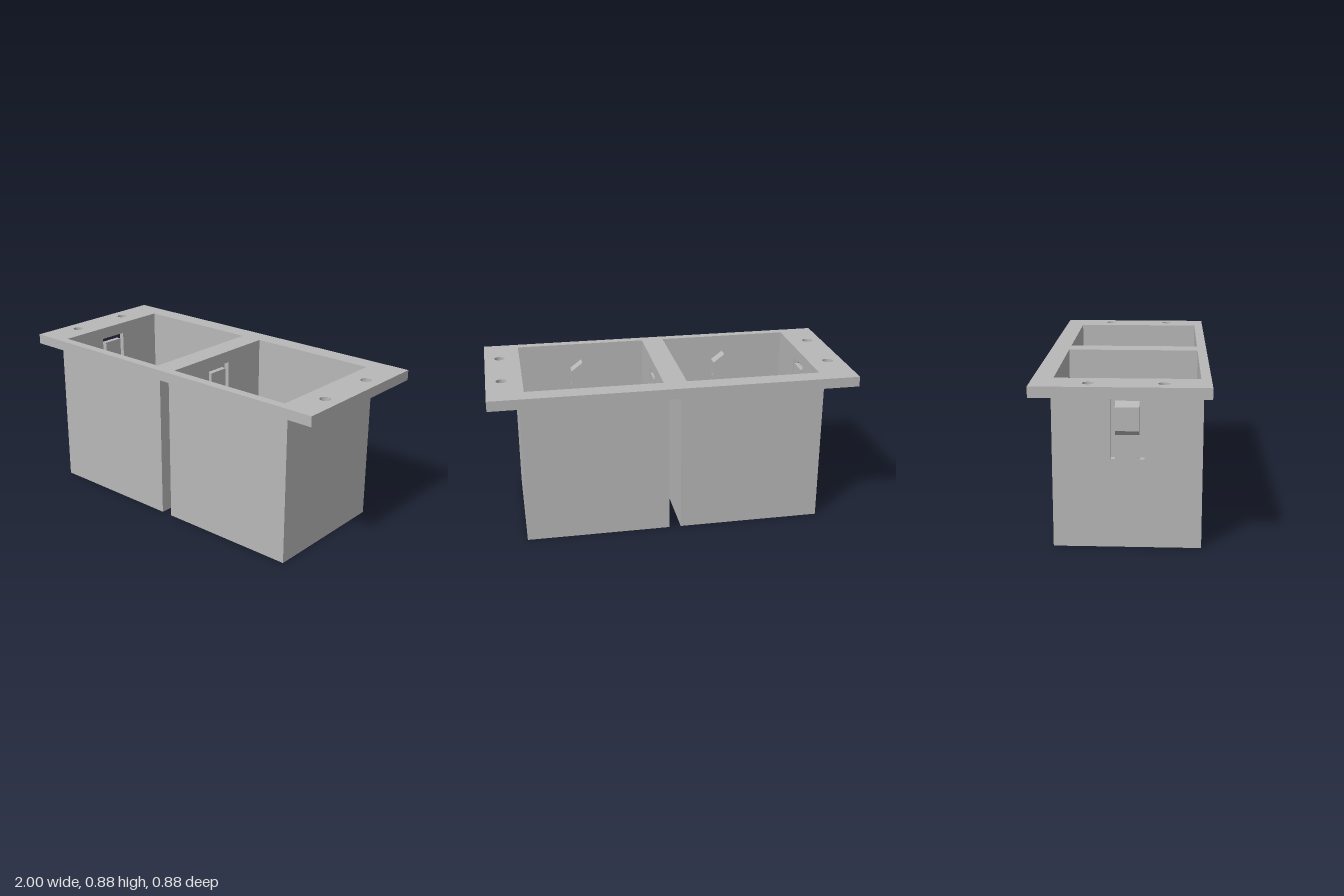
import * as THREE from 'three';
import { ConvexGeometry } from 'three/addons/geometries/ConvexGeometry.js';

const grey = new THREE.MeshStandardMaterial({ color: 0xb8b8b8 });
grey.name = 'light grey';

const TOP = 0.876, UNDER = 0.82;          // flange heights
const OUT = { back: -0.35, front: 0.405 }; // pocket outer z
const IN = { back: -0.337, front: 0.39 };  // pocket inner z
const HALF = 0.4, INNER = 0.37;            // pocket half widths
const MID = 0.028;                         // pocket centre z

const poly = (pts) => new THREE.Shape(pts.map(([x, y]) => new THREE.Vector2(x, y)));
const rect = (x0, y0, x1, y1) => poly([[x0, y0], [x1, y0], [x1, y1], [x0, y1]]);
const circle = (x, y, r) => {
  const p = new THREE.Path();
  p.absarc(x, y, r, 0, Math.PI * 2, true);
  return p;
};
const extrude = (shape, depth) =>
  new THREE.ExtrudeGeometry(shape, { depth, bevelEnabled: false, curveSegments: 16 });

// Plan shape drawn in (x, z), standing between two heights
const slab = (shape, y0, y1) => extrude(shape, y1 - y0).rotateX(Math.PI / 2).translate(0, y1, 0);

function add(parent, name, geometry) {
  const mesh = new THREE.Mesh(geometry, grey);
  mesh.name = name;
  parent.add(mesh);
}

// Screw post in a front corner, with a steep hipped top running up to the corner
function addCornerPost(parent, s) {
  const w = 0.146, c = 0.035, y0 = 0.147, y1 = 0.33, yTop = 0.56, t = 0.02;
  const at = (dx, dz) => [s * (INNER - dx), IN.front - dz];
  const plan = poly([at(0, 0), at(w, 0), at(w, w - c), at(w - c, w), at(0, w)]);
  plan.holes.push(circle(...at(w * 0.48, w * 0.48), 0.04));
  add(parent, 'screwPost', slab(plan, y0, y1));
  const points = [];
  for (const [size, y] of [[w, y1], [t, yTop]])
    for (const [i, j] of [[0, 0], [1, 0], [1, 1], [0, 1]]) {
      const [x, z] = at(i * size, j * size);
      points.push(new THREE.Vector3(x, y, z));
    }
  add(parent, 'screwPostTop', new ConvexGeometry(points));
}

// Six-sided cable tie anchor on the front wall with a slot through it sideways
function addTieAnchor(parent) {
  const h = 0.066, lo = 0.64, hi = 0.73, bottom = 0.59, peak = 0.78;
  const hex = poly([[-h, lo], [0, bottom], [h, lo], [h, hi], [0, peak], [-h, hi]]);
  add(parent, 'anchorFace', extrude(hex, 0.016).translate(0, 0, 0.322));
  add(parent, 'anchorBase', extrude(hex, 0.015).translate(0, 0, 0.375));
  const caps = [[[-h, hi], [h, hi], [0, peak]], [[-h, lo], [0, bottom], [h, lo]]];
  for (const cap of caps) add(parent, 'anchorBridge', extrude(poly(cap), 0.037).translate(0, 0, 0.338));
}

function addPocket(parent) {
  // Front, back and left walls
  add(parent, 'pocketWalls', slab(poly([
    [-HALF, OUT.back], [HALF, OUT.back], [HALF, OUT.front], [-HALF, OUT.front],
    [-HALF, IN.front], [INNER, IN.front], [INNER, IN.back], [-HALF, IN.back],
  ]), 0, UNDER));

  // Right wall, drawn in (z, y), with a slit that frees a springy tab
  const wall = rect(IN.back, 0, IN.front, UNDER);
  const a = 0.085, b = 0.06, low = 0.47, tabTop = 0.78, slitTop = 0.81;
  wall.holes.push(new THREE.Path([
    [-a, low], [-a, slitTop], [a, slitTop], [a, low],
    [b, low], [b, tabTop], [-b, tabTop], [-b, low],
  ].map(([z, y]) => new THREE.Vector2(MID + z, y))));
  add(parent, 'clipWall',
    extrude(wall, HALF - INNER).rotateY(-Math.PI / 2).translate(-INNER, 0, 0));

  // Catch on the outside of the tab
  const catchShape = poly([
    [-HALF, 0.595], [-HALF, 0.77], [-HALF - 0.027, 0.743], [-HALF - 0.027, 0.622],
  ]);
  add(parent, 'clipCatch', extrude(catchShape, b * 2).translate(0, 0, MID - b));

  for (const s of [-1, 1]) addCornerPost(parent, s);
  addTieAnchor(parent);
}

export function createModel() {
  const model = new THREE.Group();
  model.name = 'twinPocketHousing';

  // Mounting flange with two openings and four screw holes
  const plate = rect(-1, -0.441, 1, 0.441);
  for (const s of [-1, 1]) {
    const cx = s * 0.433;
    plate.holes.push(rect(cx - INNER, IN.back, cx + INNER, IN.front));
    for (const dz of [-0.184, 0.184]) plate.holes.push(circle(s * 0.915, 0.026 + dz, 0.029));
  }
  add(model, 'flange', slab(plate, UNDER, TOP));

  for (const s of [-1, 1]) {
    const pocket = new THREE.Group();
    pocket.name = s > 0 ? 'leftPocket' : 'rightPocket';
    pocket.position.x = s * 0.433;
    addPocket(pocket);
    model.add(pocket);
  }
  return model;
}
